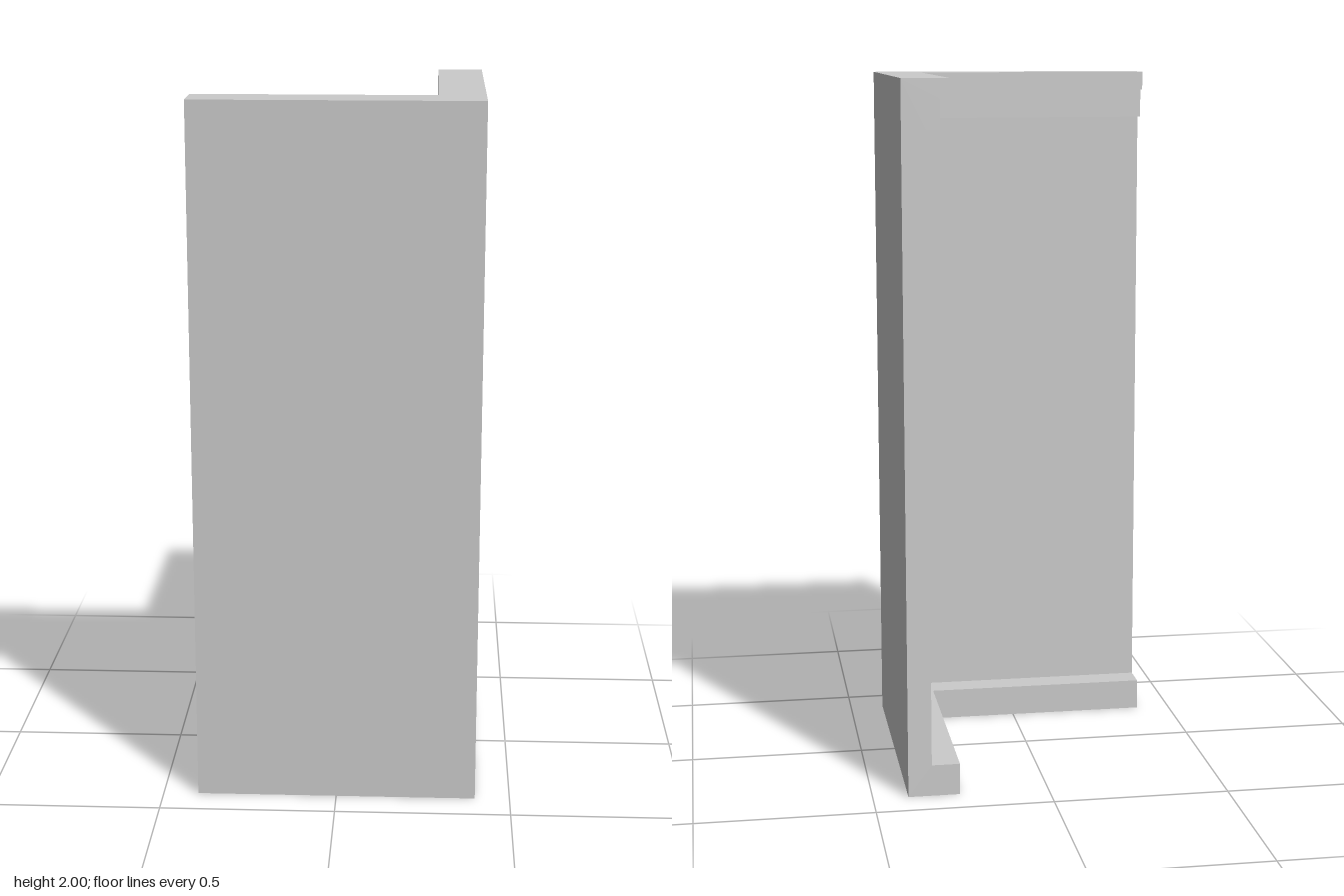
import * as THREE from 'three';

const HALF = 0.4;

// Wall section: [depth inward from the outer face, height], counter-clockwise
const PROFILE = [
  [0, 0], [0.147, 0], [0.147, 0.09],         // foot ledge
  [0.067, 0.09], [0.067, 1.865],             // thin wall
  [0.104, 1.865], [0.104, 1.947],            // stepped band
  [0.13, 1.947], [0.13, 2], [0, 2],          // top lip
];

// The section at the two free ends and at the mitred corner between them
const STATIONS = [
  ([d, y]) => [HALF - d, y, -HALF],
  ([d, y]) => [HALF - d, y, HALF - d],
  ([d, y]) => [-HALF, y, HALF - d],
];

function sweepGeometry() {
  const positions = [];
  const triangle = (a, b, c) => positions.push(...a, ...b, ...c);
  const rings = STATIONS.map((place) => PROFILE.map(place));

  // Long faces of both wings
  for (let s = 0; s < rings.length - 1; s++) {
    for (let i = 0; i < PROFILE.length; i++) {
      const j = (i + 1) % PROFILE.length;
      triangle(rings[s][i], rings[s + 1][i], rings[s + 1][j]);
      triangle(rings[s][i], rings[s + 1][j], rings[s][j]);
    }
  }

  // End caps
  const contour = PROFILE.map(([d, y]) => new THREE.Vector2(d, y));
  const last = rings[rings.length - 1];
  for (const [a, b, c] of THREE.ShapeUtils.triangulateShape(contour, [])) {
    triangle(rings[0][a], rings[0][b], rings[0][c]);
    triangle(last[a], last[c], last[b]);
  }

  const geometry = new THREE.BufferGeometry();
  geometry.setAttribute('position', new THREE.Float32BufferAttribute(positions, 3));
  geometry.computeVertexNormals();
  return geometry;
}

export function createModel() {
  const group = new THREE.Group();
  group.name = 'cornerPanel';

  const material = new THREE.MeshStandardMaterial({ color: 0xcccccc, flatShading: true });
  const wall = new THREE.Mesh(sweepGeometry(), material);
  wall.name = 'cornerWall';
  group.add(wall);

  return group;
}
